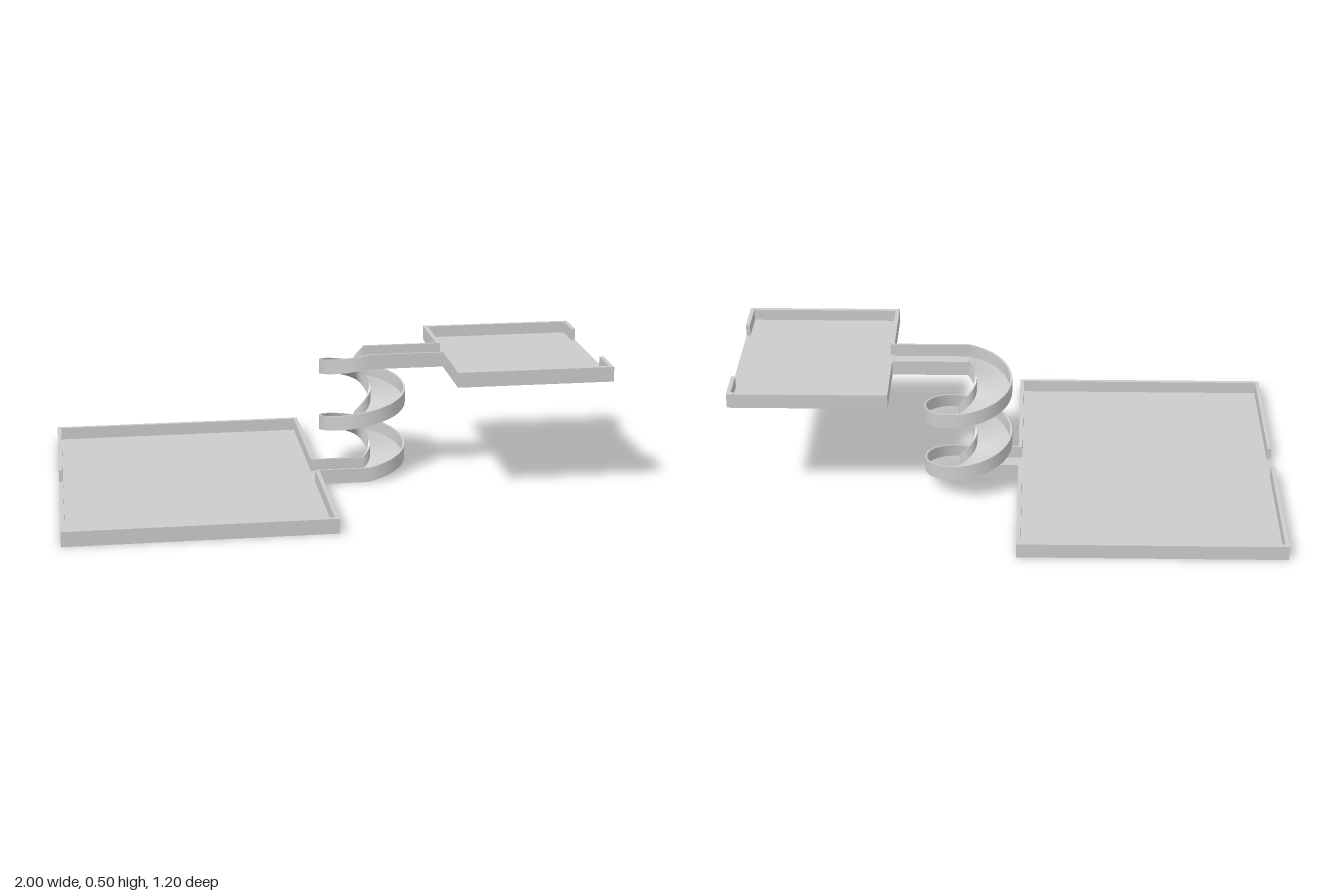
import * as THREE from 'three';

const WALL = 0.055, EDGE = 0.015;
const CX = 0.15, CZ = -0.09;          // spiral axis
const R_IN = 0.025, R_OUT = 0.163, LIP = 0.008, FLOOR = 0.008;
const RISE = 0.44, TURNS = 2;

const material = new THREE.MeshStandardMaterial({ color: 0xcccccc, side: THREE.DoubleSide });

function box(name, x0, x1, y0, y1, z0, z1) {
  const mesh = new THREE.Mesh(new THREE.BoxGeometry(x1 - x0, y1 - y0, z1 - z0), material);
  mesh.position.set((x0 + x1) / 2, (y0 + y1) / 2, (z0 + z1) / 2);
  mesh.name = name;
  return mesh;
}

// Walled platform; each x side has an opening [zMin, zMax]
function tray(name, x0, x1, z0, z1, y, floor, leftGap, rightGap) {
  const group = new THREE.Group();
  group.name = name;
  const low = y + floor, top = y + WALL;
  group.add(
    box('floor', x0, x1, y, low, z0, z1),
    box('backWall', x0, x1, low, top, z0, z0 + EDGE),
    box('frontWall', x0, x1, low, top, z1 - EDGE, z1)
  );
  for (const [xa, gap] of [[x0, leftGap], [x1 - EDGE, rightGap]]) {
    group.add(
      box('sideWallBack', xa, xa + EDGE, low, top, z0 + EDGE, gap[0]),
      box('sideWallFront', xa, xa + EDGE, low, top, gap[1], z1 - EDGE)
    );
  }
  return group;
}

// U-shaped channel section as [radius, height]
const section = [
  [R_IN, 0], [R_OUT, 0], [R_OUT, WALL], [R_OUT - LIP, WALL],
  [R_OUT - LIP, FLOOR], [R_IN + LIP, FLOOR], [R_IN + LIP, WALL], [R_IN, WALL]
];

// Sweep the channel; frame(t) gives the x origin, height and heading angle.
// Each section edge has its own vertices so corners stay sharp.
function channel(name, steps, frame) {
  const positions = [], indices = [];
  section.forEach((a, k) => {
    const b = section[(k + 1) % section.length];
    const base = positions.length / 3;
    for (let i = 0; i <= steps; i++) {
      const { x, y, angle } = frame(i / steps);
      for (const [r, h] of [a, b]) {
        positions.push(x + r * Math.sin(angle), y + h, CZ + r * Math.cos(angle));
      }
      if (i < steps) {
        const a0 = base + 2 * i, b0 = a0 + 1, a1 = a0 + 2, b1 = a0 + 3;
        indices.push(a0, a1, b0, b0, a1, b1);
      }
    }
  });
  const geometry = new THREE.BufferGeometry();
  geometry.setAttribute('position', new THREE.Float32BufferAttribute(positions, 3));
  geometry.setIndex(indices);
  geometry.computeVertexNormals();
  const mesh = new THREE.Mesh(geometry, material);
  mesh.name = name;
  return mesh;
}

export function createModel() {
  const model = new THREE.Group();
  model.name = 'spiralRampPlatforms';

  const doorway = [CZ + R_IN + LIP, CZ + R_OUT - LIP];
  const lowerEnd = -0.035, upperStart = 0.427;

  // Platforms
  model.add(
    tray('lowerPlatform', -1, lowerEnd, -0.6, 0.6, 0, 0.008, [-0.06, 0.07], doorway),
    tray('upperPlatform', upperStart, 1, -0.32, 0.355, RISE, 0.012, doorway, [-0.19, 0.21])
  );

  // Level corridors joined by the spiral ramp
  model.add(
    channel('lowerCorridor', 1, t => ({ x: lowerEnd + (CX - lowerEnd) * t, y: 0, angle: 0 })),
    channel('spiralRamp', 128, t => ({ x: CX, y: RISE * t, angle: TURNS * 2 * Math.PI * t })),
    channel('upperCorridor', 1, t => ({ x: CX + (upperStart - CX) * t, y: RISE, angle: 0 }))
  );
  return model;
}
